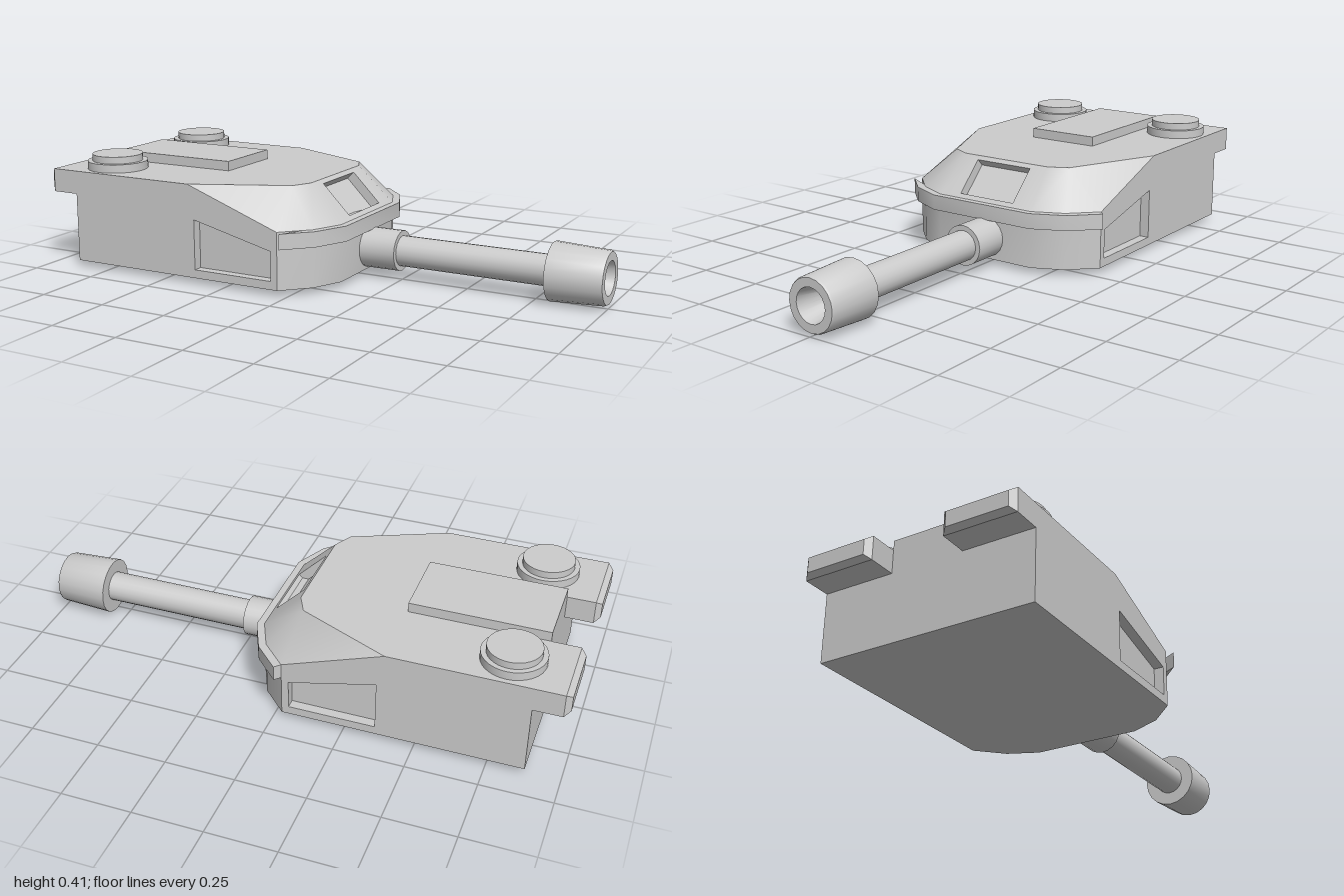
import * as THREE from 'three';
import { toCreasedNormals } from 'three/addons/utils/BufferGeometryUtils.js';

const material = new THREE.MeshStandardMaterial({ color: 0xcccccc });
const BASE = 0.025, RIM = 0.23, TOP = 0.36, REAR = -0.88, SIDE = 0.4, DEPTH = 0.035;

function part(name, geometry, crease = 0.6) {
  const mesh = new THREE.Mesh(toCreasedNormals(geometry, crease), material);
  mesh.name = name;
  return mesh;
}

const V = (x, y, z) => new THREE.Vector3(x, y, z);
const P = (list) => list.map(([x, y]) => new THREE.Vector2(x, y));
const flip = (pts) => pts.map((p) => V(p.x, p.y, -p.z)).reverse();

// Turns a list of convex polygons into one geometry
function fromPolygons(polygons) {
  const pos = [];
  for (const p of polygons)
    for (let i = 1; i < p.length - 1; i++)
      for (const v of [p[0], p[i], p[i + 1]]) pos.push(v.x, v.y, v.z);
  const g = new THREE.BufferGeometry();
  g.setAttribute('position', new THREE.Float32BufferAttribute(pos, 3));
  return g;
}

// Flat panel with a sunken pocket; map places 2D points in space, sink is the inward offset
function pocketPanel(outline, hole, map, sink) {
  const shape = new THREE.Shape(P(outline));
  shape.holes.push(new THREE.Path(P(hole)));
  const g = new THREE.ShapeGeometry(shape).toNonIndexed();
  const a = g.attributes.position, faces = [];
  for (let i = 0; i < a.count; i += 3)
    faces.push([0, 1, 2].map((k) => map(a.getX(i + k), a.getY(i + k))));
  const edge = hole.map(([u, v]) => map(u, v));
  const floor = edge.map((p) => p.clone().add(sink));
  edge.forEach((p, i) => {
    const j = (i + 1) % edge.length;
    faces.push([p, edge[j], floor[j], floor[i]]);
  });
  faces.push(floor);
  return faces;
}

function hullGeometry() {
  // Nose plan at wall level and at roof level, from the side to the centre
  const low = [[-0.03, SIDE], [0.06, 0.31], [0.11, 0.2]];
  const L = low.map(([x, z]) => V(x, RIM, z));
  const B = low.map(([x, z]) => V(x, BASE, z));
  const U = [V(-0.39, TOP, SIDE), V(-0.055, TOP, 0.25), V(-0.02, TOP, 0.18)];
  const rearTop = V(REAR, TOP, SIDE), rearLow = V(REAR, BASE, SIDE);

  // Half with the mirrored parts: side wall with pocket, nose walls, slopes
  const half = [
    ...pocketPanel(
      [[REAR, BASE], [-0.03, BASE], [-0.03, RIM], [-0.39, TOP], [REAR, TOP]],
      [[-0.365, 0.055], [-0.055, 0.055], [-0.055, 0.16], [-0.365, 0.235]],
      (x, y) => V(x, y, SIDE), V(0, 0, -DEPTH)),
    [B[0], B[1], L[1], L[0]],
    [B[1], B[2], L[2], L[1]],
    [U[0], L[0], U[1]],
    [L[0], L[1], U[1]],
    [L[1], L[2], U[2], U[1]],
  ];

  // Sloped front plate with the vision slot
  const glacis = pocketPanel(
    [[-0.2, 0], [0.2, 0], [0.18, 1], [-0.18, 1]],
    [[-0.115, 0.1], [0.115, 0.1], [0.115, 0.9], [-0.115, 0.9]],
    (u, v) => V(0.11 - 0.13 * v, RIM + (TOP - RIM) * v, -u),
    V(-0.7071 * DEPTH, -0.7071 * DEPTH, 0));

  const lowerFront = [B[2], ...flip([B[2]]), ...flip([L[2]]), L[2]];
  const rear = [...flip([rearLow]), rearLow, rearTop, ...flip([rearTop])];
  const roofHalf = [rearTop, ...U];
  const roof = [...roofHalf, ...flip(roofHalf)];
  const floorHalf = [rearLow, ...B];
  const floor = [...floorHalf, ...flip(floorHalf)].reverse();
  return fromPolygons([...half, ...half.map(flip), ...glacis, lowerFront, rear, roof, floor]);
}

// Raised band wrapped round the nose
function rimGeometry() {
  const outer = [[-0.01, 0.42], [0.08, 0.33], [0.135, 0.21]];
  const inner = [[-0.03, 0.4], [0.06, 0.31], [0.11, 0.2]];
  const mirror = (pts) => pts.map(([x, z]) => [x, -z]).reverse();
  const outline = [...outer, ...mirror(outer), ...mirror([...inner].reverse()).reverse(), ...[...inner].reverse()];
  const g = new THREE.ExtrudeGeometry(new THREE.Shape(P(outline)), { depth: 0.055, bevelEnabled: false });
  return g.rotateX(-Math.PI / 2).translate(0, 0.175, 0);
}

// Rear overhang block with a chamfered end
function bustleGeometry() {
  const h = 0.085, w = 0.265;
  const g = new THREE.BoxGeometry(0.12, h, w, 6, 1, 1);
  const a = g.attributes.position;
  for (let i = 0; i < a.count; i++)
    if (a.getX(i) < -0.055)
      a.setXYZ(i, a.getX(i), a.getY(i) * (1 - 0.03 / h), a.getZ(i) * (1 - 0.04 / w));
  return g.translate(-0.94, TOP - h / 2, 0);
}

export function createModel() {
  const model = new THREE.Group();
  model.name = 'turret';
  model.add(part('hull', hullGeometry()));
  model.add(part('noseRim', rimGeometry()));

  const plate = part('roofPlate', new THREE.BoxGeometry(0.49, 0.035, 0.27));
  plate.position.set(-0.635, TOP + 0.0175, 0);
  model.add(plate);

  // Paired overhangs and hatches
  const hatchProfile = P([[0.11, 0], [0.11, 0.03], [0.092, 0.03], [0.092, 0.055], [0, 0.055]]);
  for (const [side, s] of [['left', -1], ['right', 1]]) {
    const bustle = part(side + 'RearOverhang', bustleGeometry());
    bustle.position.z = s * 0.2675;
    const hatch = part(side + 'Hatch', new THREE.LatheGeometry(hatchProfile, 32));
    hatch.position.set(-0.785, TOP, s * 0.272);
    model.add(bustle, hatch);
  }

  // Gun: sleeve, tube, tapered muzzle and conical bore
  const gunProfile = P([
    [0.073, 0.08], [0.073, 0.245], [0.055, 0.245], [0.055, 0.805], [0.103, 0.805],
    [0.094, 0.992], [0.09, 1], [0.06, 1], [0.03, 0.85], [0, 0.85],
  ]);
  const gun = part('gunBarrel', new THREE.LatheGeometry(gunProfile, 20).rotateZ(-Math.PI / 2));
  gun.position.set(0, 0.106, -0.008);
  model.add(gun);
  return model;
}
